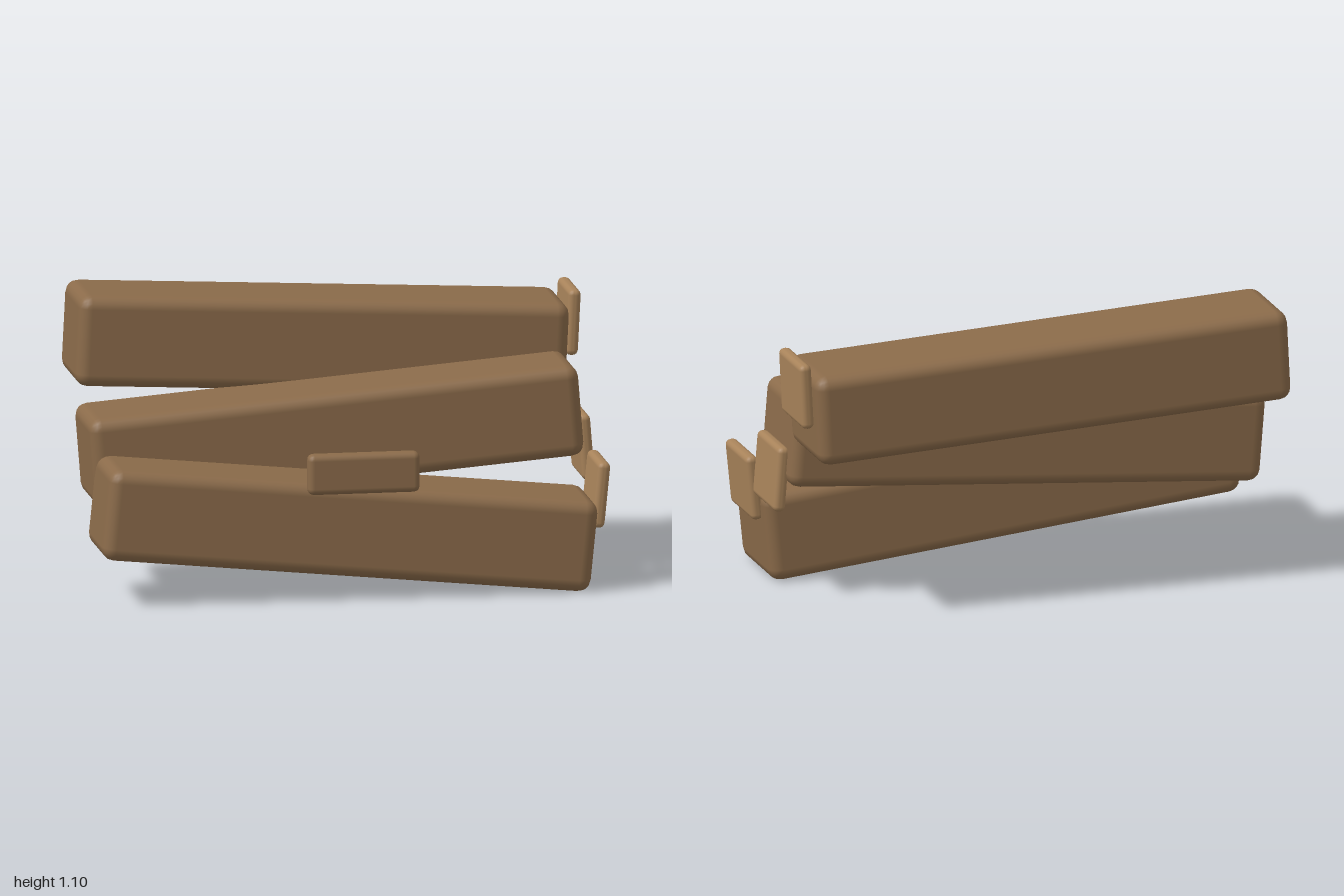
import * as THREE from 'three';
import { RoundedBoxGeometry } from 'three/addons/geometries/RoundedBoxGeometry.js';

const wood = new THREE.MeshStandardMaterial({ color: 0x8b6b4a });
const cutWood = new THREE.MeshStandardMaterial({ color: 0xa8835a });

// Rounded block, tilted about z
function block(name, size, radius, position, tilt, material) {
  const mesh = new THREE.Mesh(new RoundedBoxGeometry(...size, 2, radius), material);
  mesh.name = name;
  mesh.position.set(...position);
  mesh.rotation.z = tilt;
  return mesh;
}

export function createModel() {
  const model = new THREE.Group();
  model.name = 'steppedBeams';

  // Three tilted beams climbing to the back, each with a plate at its left end
  const steps = [
    { name: 'front', z: 0.29, y: 0.272, tilt: -0.1, plateX: 0.963, plateY: 0.372 },
    { name: 'middle', z: -0.03, y: 0.577, tilt: 0.08, plateX: 0.958, plateY: 0.497 },
    { name: 'back', z: -0.355, y: 0.878, tilt: -0.05, plateX: 0.962, plateY: 0.925 },
  ];
  for (const s of steps) {
    model.add(block(s.name + 'Beam', [1.93, 0.36, 0.4], 0.05, [-0.03, s.y, s.z], s.tilt, wood));
    model.add(block(s.name + 'EndPlate', [0.05, 0.26, 0.28], 0.022,
      [s.plateX, s.plateY, s.z], s.tilt, cutWood));
  }

  // Small level plaque on the front beam
  model.add(block('frontPlaque', [0.44, 0.16, 0.067], 0.025, [0.01, 0.515, 0.522], 0, wood));
  return model;
}
